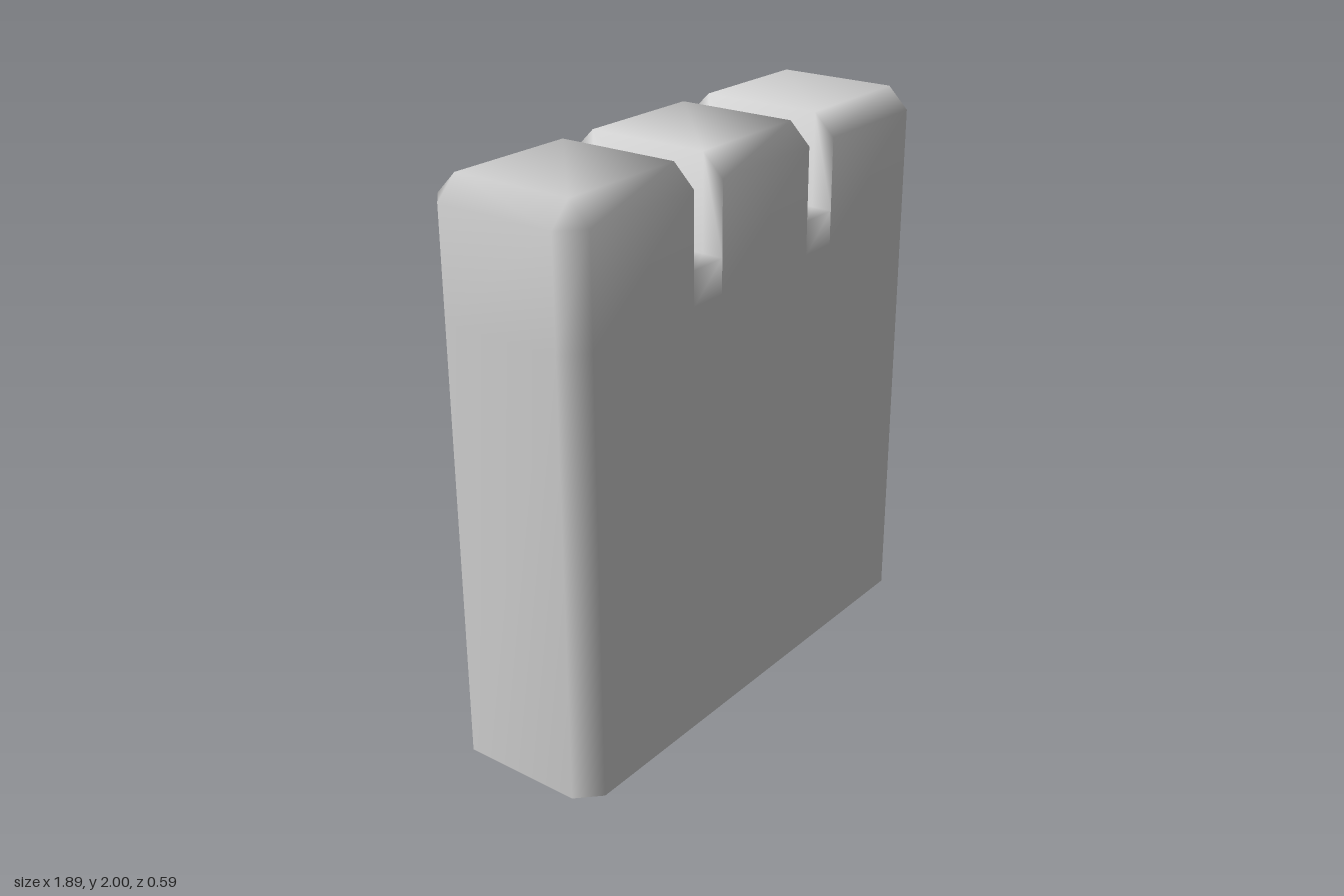
import * as THREE from 'three';
import { mergeVertices } from 'three/addons/utils/BufferGeometryUtils.js';

const DEPTH = 0.297, BEVEL = 0.076, TOP = 2, NOTCH = 1.67, SHOULDER = 1.55;

// Arch-shaped cross-section at x, open at the bottom, from front foot over the top to back foot
function section(x, depth, top, drop) {
  const inner = Math.min(depth, DEPTH - BEVEL);
  const front = [[depth, 0], [depth, SHOULDER], [depth, top - drop], [inner, top]];
  const back = front.map(([z, y]) => [-z, y]).reverse();
  return [...front, ...back].map(([z, y]) => new THREE.Vector3(x, y, z));
}
const end = (x) => section(x, DEPTH - BEVEL, TOP - BEVEL, 0);
const tall = (x) => section(x, DEPTH, TOP, BEVEL);
const notch = (x) => section(x, DEPTH, NOTCH, 0);

function buildShell() {
  const positions = [];
  const triangle = new THREE.Triangle();
  const tri = (a, b, c) => {
    if (triangle.set(a, b, c).getArea() < 1e-6) return; // collapsed corner
    for (const p of [a, b, c]) positions.push(p.x, p.y, p.z);
  };
  const quad = (a, b, c, d) => { tri(a, b, c); tri(a, c, d); };

  // Loft across the width; paired sections at one x form the notch walls
  const rows = [
    end(-0.945), tall(-0.868),
    tall(-0.388), notch(-0.388), notch(-0.242), tall(-0.242),
    tall(0.238), notch(0.238), notch(0.384), tall(0.384),
    tall(0.868), end(0.945),
  ];
  for (let i = 0; i < rows.length - 1; i++) {
    const l = rows[i], r = rows[i + 1];
    for (let j = 0; j < 7; j++) quad(l[j], r[j], r[j + 1], l[j + 1]);
  }

  // Flat ends
  const l = rows[0], r = rows[rows.length - 1];
  for (let j = 0; j < 2; j++) {
    quad(r[j], r[7 - j], r[6 - j], r[j + 1]);
    quad(l[7 - j], l[j], l[j + 1], l[6 - j]);
  }

  // Shared vertices give the soft shading over the bevels
  const geometry = new THREE.BufferGeometry();
  geometry.setAttribute('position', new THREE.Float32BufferAttribute(positions, 3));
  const merged = mergeVertices(geometry, 1e-4);
  merged.computeVertexNormals();
  return merged;
}

export function createModel() {
  const stone = new THREE.MeshStandardMaterial({ color: 0xcccccc, side: THREE.DoubleSide });
  stone.name = 'light grey';
  const wall = new THREE.Mesh(buildShell(), stone);
  wall.name = 'notchedWallBlock';
  const model = new THREE.Group();
  model.name = 'battlement';
  model.add(wall);
  return model;
}
